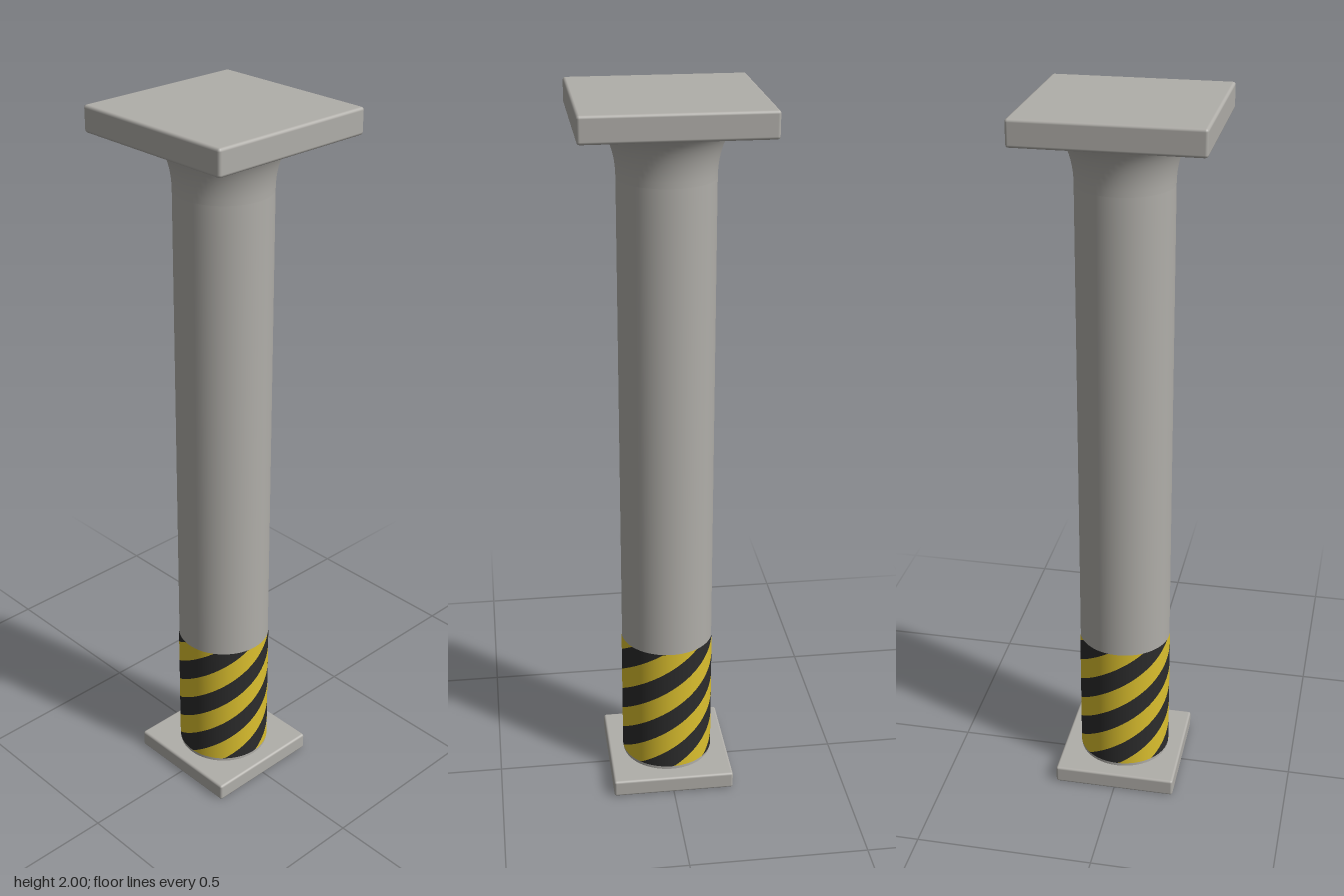
import * as THREE from 'three';
import { RoundedBoxGeometry } from 'three/addons/geometries/RoundedBoxGeometry.js';

const R = 0.13;                       // shaft radius
const BAND = { y0: 0.06, y1: 0.445, r: R + 0.0015 };
const STARTS = 4, PITCH = 0.135;      // stripes around, vertical spacing

// Helical stripes wrapped round the shaft, trimmed to the band height
function stripeGeometry(offset) {
  const pos = [], nor = [], idx = [], cols = 96;
  const trim = (y) => THREE.MathUtils.clamp(y, BAND.y0, BAND.y1);
  for (let k = -STARTS - 4; k <= 5; k++) {
    for (let i = 0; i <= cols; i++) {
      const a = (i / cols) * Math.PI * 2;
      const mid = offset + PITCH * (k + (i / cols) * STARTS);
      const lo = trim(mid - PITCH / 4), hi = trim(mid + PITCH / 4);
      const s = Math.sin(a), c = Math.cos(a), n = pos.length / 3;
      pos.push(s * BAND.r, lo, c * BAND.r, s * BAND.r, hi, c * BAND.r);
      nor.push(s, 0, c, s, 0, c);
      if (i < cols) idx.push(n, n + 2, n + 3, n, n + 3, n + 1);
    }
  }
  const g = new THREE.BufferGeometry();
  g.setAttribute('position', new THREE.Float32BufferAttribute(pos, 3));
  g.setAttribute('normal', new THREE.Float32BufferAttribute(nor, 3));
  g.setIndex(idx);
  return g;
}

export function createModel() {
  const material = (name, color) => {
    const m = new THREE.MeshStandardMaterial({ color });
    m.name = name;
    return m;
  };
  const concrete = material('concrete grey', 0xb0aea9);
  const yellow = material('warning yellow', 0xdcc02e);
  const black = material('warning black', 0x2c2c2c);

  const model = new THREE.Group();
  model.name = 'column';
  const add = (name, geometry, mat, y = 0) => {
    const mesh = new THREE.Mesh(geometry, mat);
    mesh.name = name;
    mesh.position.y = y;
    model.add(mesh);
  };

  // Square plates at foot and head
  add('basePlate', new RoundedBoxGeometry(0.35, 0.05, 0.35, 2, 0.007), concrete, 0.025);
  add('topSlab', new RoundedBoxGeometry(0.486, 0.07, 0.486, 2, 0.008), concrete, 1.965);

  // Round shaft
  add('shaft', new THREE.CylinderGeometry(R, R, 1.75, 64, 1, true), concrete, 0.915);

  // Flared capital sweeping out to the slab
  const flare = [];
  for (let i = 0; i <= 14; i++) {
    const t = (i / 14) * Math.PI / 2;
    flare.push(new THREE.Vector2(R + 0.07 * (1 - Math.cos(t)), 1.79 + 0.142 * Math.sin(t)));
  }
  add('capital', new THREE.LatheGeometry(flare, 64), concrete);

  // Hazard band
  add('blackStripes', stripeGeometry(0.36), black);
  add('yellowStripes', stripeGeometry(0.36 + PITCH / 2), yellow);

  return model;
}
